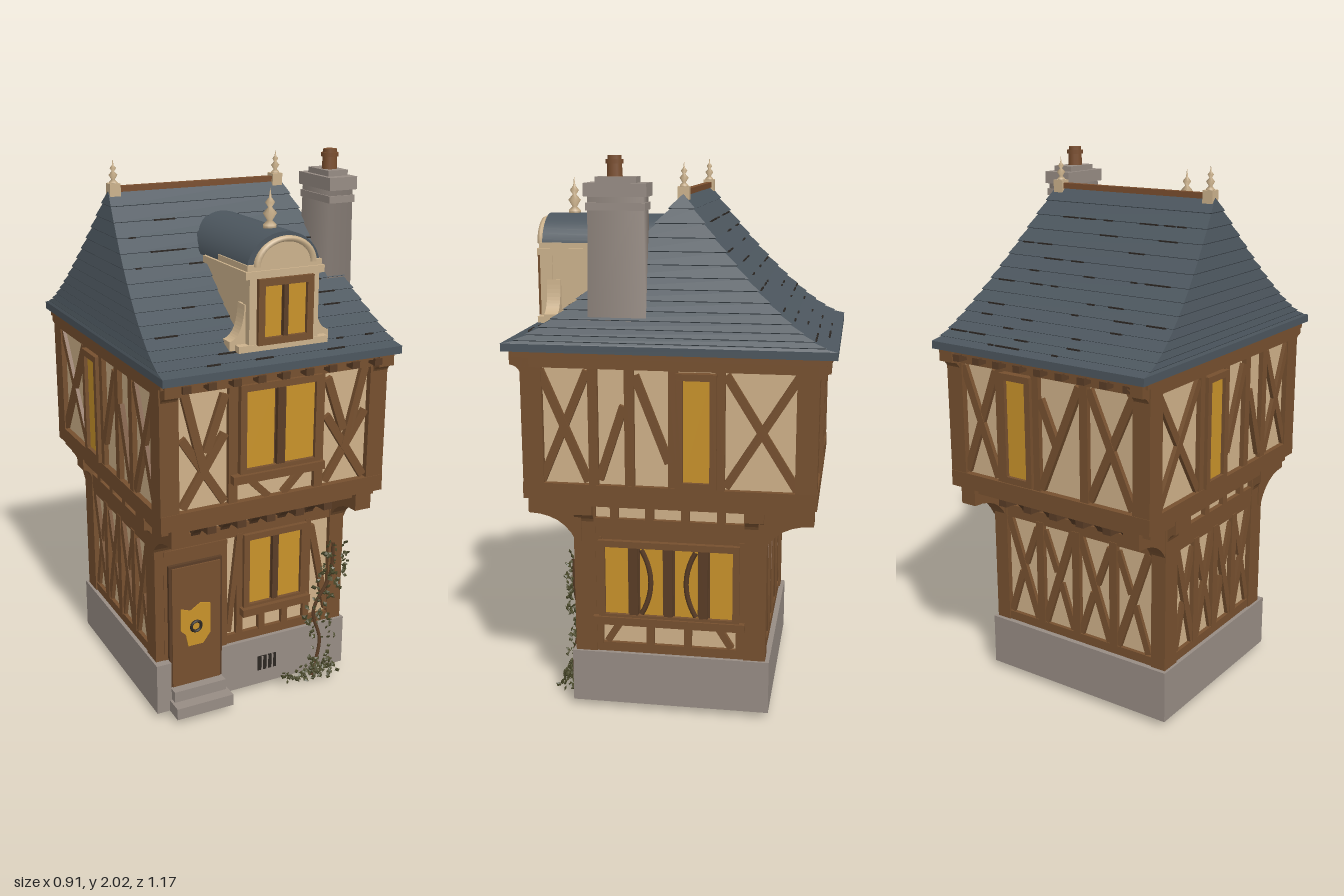
import * as THREE from 'three';
import { mergeGeometries } from 'three/addons/utils/BufferGeometryUtils.js';

const mat = (name, color) => Object.assign(new THREE.MeshStandardMaterial({ color }), { name });
const M = {
  stone: mat('stone', 0x978c84), plaster: mat('plaster', 0xcfb189), timber: mat('timber', 0x76502f),
  dark: mat('darkTimber', 0x5a3d26), glass: mat('amberGlass', 0xc8922a), slate: mat('slate', 0x4c565e),
  carved: mat('carvedStone', 0xccb28c), leaf: mat('ivy', 0x4b4a2b), ink: mat('iron', 0x2b2622), clay: mat('clay', 0x7a4e2e),
};
let seed = 7;
const rnd = (a = 0, b = 1) => { seed = (seed * 16807) % 2147483647; return a + (b - a) * seed / 2147483647; };

function add(g, name, geo, m) {
  const mesh = new THREE.Mesh(geo, m);
  mesh.name = name;
  g.add(mesh);
  return mesh;
}
// Box given by its limits
const block = (g, name, m, x0, x1, y0, y1, z0, z1) =>
  add(g, name, new THREE.BoxGeometry(x1 - x0, y1 - y0, z1 - z0).translate((x0 + x1) / 2, (y0 + y1) / 2, (z0 + z1) / 2), m);
// Beam between two points on a wall
function bar(g, u1, v1, u2, v2, w = 0.034, d = 0.018, m = M.timber, name = 'beam') {
  const b = add(g, name, new THREE.BoxGeometry(Math.hypot(u2 - u1, v2 - v1), w, d + 0.02), m);
  b.position.set((u1 + u2) / 2, (v1 + v2) / 2, d / 2 - 0.01);
  b.rotation.z = Math.atan2(v2 - v1, u2 - u1);
}
const cross = (g, u0, u1, v0, v1, w = 0.03) => { bar(g, u0, v0, u1, v1, w, 0.014); bar(g, u0, v1, u1, v0, w, 0.016); };
// Wall frame: local x runs along the wall, local z points outward
function wall(root, name, x, z, turn) {
  const g = new THREE.Group();
  g.name = name;
  g.position.set(x, 0, z);
  g.rotation.y = turn;
  root.add(g);
  return g;
}
// Casement window with a row of panes
function casement(g, u0, u1, v0, v1, n, gap = 0.03) {
  block(g, 'windowBacking', M.dark, u0 - 0.02, u1 + 0.02, v0 - 0.02, v1 + 0.02, -0.01, 0.014);
  const w = (u1 - u0 - gap * (n - 1)) / n;
  for (let i = 0; i < n; i++) {
    const a = u0 + i * (w + gap);
    block(g, 'pane', M.glass, a, a + w, v0, v1, 0.013, 0.018);
    if (i) bar(g, a - gap / 2, v0, a - gap / 2, v1, gap * 0.7, 0.03, M.dark, 'mullion');
  }
  for (const u of [u0 - 0.012, u1 + 0.012]) bar(g, u, v0 - 0.02, u, v1 + 0.02, 0.024, 0.032, M.timber, 'jamb');
  for (const v of [v0 - 0.012, v1 + 0.012]) bar(g, u0 - 0.024, v, u1 + 0.024, v, 0.024, 0.032, M.timber, 'rail');
}
// Curved bracket under an overhang
function corbel(g, u, top, D, H, w, m = M.timber) {
  const s = new THREE.Shape();
  s.moveTo(-0.01, top); s.lineTo(D, top); s.lineTo(D, top - H * 0.4);
  s.quadraticCurveTo(D * 0.3, top - H * 0.4, 0.01, top - H);
  s.lineTo(-0.01, top - H);
  add(g, 'corbel', new THREE.ExtrudeGeometry(s, { depth: w, bevelEnabled: false, curveSegments: 6 })
    .rotateY(-Math.PI / 2).translate(u + w / 2, 0, 0), m);
}
function finial(g, x, y, z, k) {
  const p = [[0, 0], [.02, 0], [.02, .012], [.008, .024], [.021, .045], [.006, .062], [.015, .076], [.004, .09], [0, .12]];
  add(g, 'finial', new THREE.LatheGeometry(p.map(([r, h]) => new THREE.Vector2(r * k, h * k)), 10).translate(x, y, z), M.carved);
}

// Roof section: t = 0 at the ridge, 1 at the eaves
const roofAt = (t, off = 0) => {
  const f = Math.pow(1 - t, 1.6);
  return { l: -0.455 + 0.07 * f - off / 2, r: 0.45 - 0.15 * f + off / 2, b: -0.04 - 0.54 * t - off, f: -0.04 + 0.615 * t + off,
    y: 1.36 + 0.51 * Math.pow(1 - t, 1.4) + off / 2 };
};
function roof(root) {
  const g = wall(root, 'roof', 0, 0, 0), n = 14, rings = [];
  for (let i = 0; i < n; i++) rings.push(roofAt(i / n), roofAt((i + 1) / n, 0.006));
  const e = rings[rings.length - 1];
  rings.push({ ...e, y: 1.335 }, { l: 0, r: 0, b: 0, f: 0, y: 1.335 });
  const corners = ({ l, r, b, f, y }) => [[l, y, f], [r, y, f], [r, y, b], [l, y, b]];
  const pos = [];
  for (let i = 0; i + 1 < rings.length; i++) {
    const U = corners(rings[i]), L = corners(rings[i + 1]);
    for (let j = 0; j < 4; j++) {
      const k = (j + 1) % 4;
      pos.push(...L[j], ...L[k], ...U[k], ...L[j], ...U[k], ...U[j]);
    }
  }
  const geo = new THREE.BufferGeometry();
  geo.setAttribute('position', new THREE.Float32BufferAttribute(pos, 3));
  geo.computeVertexNormals();
  add(g, 'slateCourses', geo, M.slate);
  // Dark gaps along the slate courses
  for (let i = 0; i < 90; i++) {
    const t = Math.floor(rnd(2, n)) / n, s = roofAt(t, 0.006), w = rnd(0.02, 0.08), front = i % 2;
    const x = rnd(s.l + 0.05, s.r - 0.05), z = front ? s.f : s.b;
    block(g, 'slateGap', M.ink, x - w / 2, x + w / 2, s.y - 0.004, s.y + 0.001, z - 0.004, z + 0.004);
  }
  // Ridge and finials
  block(g, 'ridgeCap', M.clay, -0.36, 0.28, 1.865, 1.885, -0.052, -0.028);
  for (const x of [-0.365, 0.28]) {
    block(g, 'finialBase', M.carved, x - 0.02, x + 0.02, 1.85, 1.895, -0.06, -0.02);
    finial(g, x, 1.89, -0.04, 0.75);
  }
  // Chimney
  const shaft = add(g, 'chimneyShaft', new THREE.CylinderGeometry(0.0655, 0.0707, 0.44, 4, 1).rotateY(Math.PI / 4), M.stone);
  shaft.scale.set(1, 1, 2.05);
  shaft.position.set(0.38, 1.66, 0.17);
  block(g, 'chimneyBand', M.stone, 0.328, 0.432, 1.82, 1.845, 0.068, 0.272);
  block(g, 'chimneyCap', M.stone, 0.324, 0.436, 1.865, 1.91, 0.062, 0.278);
  block(g, 'chimneyTop', M.stone, 0.34, 0.42, 1.91, 1.93, 0.1, 0.24);
  add(g, 'chimneyPot', new THREE.CylinderGeometry(0.024, 0.028, 0.08, 12).translate(0.38, 1.96, 0.18), M.clay);
  add(g, 'chimneyPotRim', new THREE.CylinderGeometry(0.031, 0.031, 0.014, 12).translate(0.38, 1.98, 0.18), M.clay);
}

function dormer(root) {
  const g = wall(root, 'dormer', 0.015, 0.5, 0);
  const vault = (rx, ry, len, y, z) => new THREE.CylinderGeometry(1, 1, len, 20, 1, false, Math.PI / 2, Math.PI)
    .rotateX(Math.PI / 2).scale(rx, ry, 1).translate(0, y, z - len / 2);
  block(g, 'dormerBody', M.carved, -0.125, 0.125, 1.38, 1.67, -0.4, 0);
  add(g, 'dormerRoof', vault(0.138, 0.125, 0.48, 1.66, 0.005), M.slate);
  add(g, 'pediment', vault(0.112, 0.085, 0.05, 1.68, 0.02), M.carved);
  add(g, 'pedimentArch', new THREE.TorusGeometry(0.105, 0.013, 6, 18, Math.PI).scale(1, 0.8, 1).translate(0, 1.68, 0.018), M.carved);
  block(g, 'dormerCornice', M.carved, -0.148, 0.148, 1.64, 1.665, -0.3, 0.022);
  block(g, 'dormerCorniceTop', M.carved, -0.14, 0.14, 1.665, 1.685, -0.2, 0.015);
  block(g, 'dormerSill', M.carved, -0.17, 0.17, 1.395, 1.418, -0.06, 0.02);
  casement(g, -0.08, 0.08, 1.44, 1.615, 2, 0.024);
  for (const s of [-1, 1]) {
    block(g, 'pilaster', M.carved, s * 0.117 - 0.014, s * 0.117 + 0.014, 1.4, 1.64, -0.03, 0.016);
    const c = new THREE.Shape();
    c.moveTo(s * 0.12, 1.39); c.lineTo(s * 0.19, 1.39); c.lineTo(s * 0.19, 1.43);
    c.quadraticCurveTo(s * 0.14, 1.44, s * 0.135, 1.55); c.lineTo(s * 0.12, 1.55);
    add(g, 'scroll', new THREE.ExtrudeGeometry(c, { depth: 0.05, bevelEnabled: false }).translate(0, 0, -0.06), M.carved);
  }
  finial(g, -0.005, 1.78, -0.085, 1.15);
}

function upperFloor(root) {
  block(root, 'upperWalls', M.plaster, -0.425, 0.42, 0.8, 1.34, -0.505, 0.495);
  block(root, 'jettySill', M.timber, -0.445, 0.44, 0.8, 0.86, -0.53, 0.52);
  block(root, 'jettyFloor', M.timber, -0.43, 0.425, 0.775, 0.8, -0.5, 0.49);
  block(root, 'wallPlate', M.timber, -0.445, 0.44, 1.28, 1.335, -0.525, 0.515);
  block(root, 'eavesBoard', M.timber, -0.45, 0.445, 1.315, 1.337, -0.55, 0.545);
  for (const x of [-0.41, 0.405]) for (const z of [-0.49, 0.48])
    block(root, 'upperPost', M.timber, x - 0.035, x + 0.035, 0.86, 1.28, z - 0.038, z + 0.038);
  const front = wall(root, 'upperFront', 0, 0.495, 0), back = wall(root, 'upperBack', 0, -0.505, Math.PI);
  casement(front, -0.125, 0.145, 0.98, 1.26, 2, 0.045);
  block(front, 'windowLedge', M.timber, -0.18, 0.18, 0.935, 0.965, -0.01, 0.045);
  for (const s of [-1, 1]) {
    bar(front, s * 0.17, 0.86, s * 0.17, 1.28);
    cross(front, s * 0.2, s * 0.36, 0.87, 1.12);
    bar(front, s * 0.28, 1.0, s * 0.35, 1.28, 0.03);
    bar(front, s * 0.2, 1.26, s * 0.27, 1.06, 0.03);
    bar(front, s * 0.03, 0.86, s * 0.11, 0.94, 0.025);
  }
  casement(back, -0.165, -0.075, 0.89, 1.25, 1);
  for (const u of [-0.2, -0.04, 0.17]) bar(back, u, 0.86, u, 1.28);
  cross(back, -0.37, -0.22, 0.87, 1.27);
  cross(back, 0.19, 0.37, 0.87, 1.27);
  bar(back, -0.02, 0.87, 0.15, 1.27, 0.03);
  bar(back, -0.02, 1.2, 0.05, 1.04, 0.03);
  for (const s of [1, -1]) {
    const g = wall(root, 'upperSide', s > 0 ? 0.42 : -0.425, 0, s * Math.PI / 2);
    // z runs against the wall axis on one side
    const u = (z) => -s * z;
    casement(g, Math.min(u(-0.06), u(-0.155)), Math.max(u(-0.06), u(-0.155)), 0.885, 1.25, 1);
    for (const z of [0.26, 0.13, -0.025, -0.19]) bar(g, u(z), 0.86, u(z), 1.28);
    cross(g, u(0.45), u(0.28), 0.87, 1.27);
    cross(g, u(-0.21), u(-0.46), 0.87, 1.27);
    bar(g, u(0.24), 0.88, u(0.15), 1.15, 0.03);
    bar(g, u(0.11), 1.26, u(-0.01), 0.95, 0.03);
  }
  // Rafter tails and eaves brackets
  for (const g of [front, back]) {
    for (let i = 0; i < 9; i++) block(g, 'rafterTail', M.dark, -0.375 + i * 0.092, -0.345 + i * 0.092, 1.295, 1.32, 0, 0.06);
    for (const u of [-0.41, 0.41]) corbel(g, u, 1.335, 0.06, 0.12, 0.06);
  }
}

function groundFloor(root) {
  block(root, 'plinth', M.stone, -0.41, 0.4, 0, 0.2, -0.37, 0.362);
  block(root, 'groundWalls', M.plaster, -0.38, 0.37, 0.2, 0.79, -0.335, 0.33);
  for (const [y0, y1] of [[0.2, 0.235], [0.64, 0.69]]) block(root, 'ringBeam', M.timber, -0.395, 0.385, y0, y1, -0.35, 0.346);
  for (const x of [-0.37, 0.36]) for (const z of [-0.315, 0.31])
    block(root, 'groundPost', M.timber, x - 0.03, x + 0.03, 0.2, 0.79, z - 0.04, z + 0.04);
  const front = wall(root, 'groundFront', 0, 0.33, 0), back = wall(root, 'groundBack', 0, -0.335, Math.PI);
  const right = wall(root, 'groundRight', 0.37, 0, Math.PI / 2), left = wall(root, 'groundLeft', -0.38, 0, -Math.PI / 2);
  // Jetty corbels and joists
  for (const g of [front, back]) {
    for (const u of [-0.372, 0.365]) corbel(g, u, 0.8, 0.185, 0.17, 0.065);
    for (let i = 0; i < 5; i++) corbel(g, -0.235 + i * 0.118, 0.79, 0.15, 0.12, 0.035, M.dark);
  }
  for (const g of [right, left]) {
    for (const u of [-0.31, 0.31]) corbel(g, u, 0.8, 0.055, 0.15, 0.07);
    for (let i = 0; i < 4; i++) bar(g, -0.2 + i * 0.13, 0.69, -0.2 + i * 0.13, 0.78, 0.03);
    bar(g, -0.33, 0.69, 0.33, 0.69, 0.06);
  }
  // Door and steps
  block(front, 'doorSurround', M.timber, -0.365, -0.11, 0.2, 0.64, -0.01, 0.022);
  block(front, 'doorFrame', M.dark, -0.352, -0.138, 0.08, 0.585, -0.01, 0.036);
  block(front, 'door', M.timber, -0.342, -0.148, 0.09, 0.575, -0.01, 0.042);
  const light = new THREE.Shape([[-.31, .41], [-.27, .395], [-.23, .42], [-.19, .41], [-.19, .29], [-.22, .25], [-.28, .25], [-.29, .3], [-.31, .32]]
    .map(([x, y]) => new THREE.Vector2(x, y)));
  add(front, 'doorLight', new THREE.ExtrudeGeometry(light, { depth: 0.005, bevelEnabled: false }).translate(0, 0, 0.041), M.glass);
  add(front, 'knocker', new THREE.TorusGeometry(0.02, 0.006, 6, 14).translate(-0.25, 0.33, 0.05), M.ink);
  block(root, 'upperStep', M.stone, -0.35, -0.14, 0, 0.088, 0.35, 0.405);
  block(root, 'lowerStep', M.stone, -0.36, -0.13, 0, 0.045, 0.35, 0.45);
  block(root, 'doorKerb', M.stone, -0.41, -0.352, 0, 0.2, 0.35, 0.38);
  // Front window, studs and cellar grate
  casement(front, -0.02, 0.2, 0.355, 0.62, 2, 0.035);
  block(front, 'windowLedge', M.timber, -0.055, 0.235, 0.315, 0.345, -0.01, 0.05);
  for (const u of [-0.055, 0.235]) bar(front, u, 0.23, u, 0.65, 0.026);
  bar(front, -0.1, 0.25, -0.06, 0.62, 0.02);
  bar(front, 0.25, 0.62, 0.33, 0.25, 0.026);
  for (const u of [0.04, 0.14]) bar(front, u, 0.23, u, 0.32, 0.026);
  block(front, 'cellarGrate', M.ink, 0.018, 0.098, 0.06, 0.12, 0.03, 0.036);
  for (let i = 0; i < 3; i++) block(front, 'grateBar', M.stone, 0.033 + i * 0.022, 0.039 + i * 0.022, 0.06, 0.12, 0.03, 0.04);
  // Right side window with curved braces
  casement(right, -0.235, 0.235, 0.355, 0.615, 4, 0.045);
  block(right, 'windowLedge', M.timber, -0.28, 0.28, 0.315, 0.345, -0.01, 0.04);
  for (const s of [-1, 1]) {
    const c = new THREE.QuadraticBezierCurve3(new THREE.Vector3(s * 0.1, 0.36, 0.022), new THREE.Vector3(s * 0.03, 0.485, 0.022), new THREE.Vector3(s * 0.1, 0.61, 0.022));
    add(right, 'curvedBrace', new THREE.TubeGeometry(c, 10, 0.01, 5), M.dark);
    bar(right, s * 0.262, 0.23, s * 0.262, 0.65, 0.03);
    bar(right, s * 0.23, 0.24, s * 0.18, 0.32, 0.025);
    bar(right, s * 0.07, 0.23, s * 0.07, 0.32, 0.028);
  }
  // Blind back and left walls: studs with braces
  for (const [g, half] of [[back, 0.34], [left, 0.28]]) {
    const n = 4, w = 2 * half / n;
    for (let i = 0; i < n; i++) {
      const a = -half + i * w, s = i % 2 ? 1 : -1, c = a + w / 2;
      if (i) bar(g, a, 0.23, a, 0.65);
      bar(g, c - s * w * 0.4, 0.24, c + s * w * 0.4, 0.64, 0.03, 0.015);
      bar(g, c + s * w * 0.4, 0.24, c + s * w * 0.05, 0.42, 0.026, 0.013);
      bar(g, c - s * w * 0.4, 0.62, c - s * w * 0.05, 0.46, 0.026, 0.013);
    }
  }
}

// Climbing plant on the front corner
function ivy(root) {
  const g = wall(root, 'ivy', 0, 0, 0), leaves = [];
  const path = new THREE.CatmullRomCurve3([[0.24, 0, 0.4], [0.28, 0.14, 0.385], [0.26, 0.26, 0.365], [0.33, 0.4, 0.365], [0.34, 0.54, 0.365]]
    .map((p) => new THREE.Vector3(...p)));
  add(g, 'ivyStem', new THREE.TubeGeometry(path, 24, 0.007, 5), M.dark);
  for (let i = 0; i < 190; i++) {
    const ground = i < 60, p = path.getPoint(rnd()), r = rnd(0.008, 0.016);
    if (ground) p.set(rnd(0.11, 0.34), rnd(0.008, 0.05), rnd(0.375, 0.44));
    else p.add(new THREE.Vector3(rnd(-0.055, 0.065), rnd(-0.03, 0.03), rnd(0, 0.025)));
    leaves.push(new THREE.OctahedronGeometry(r).scale(1, 0.75, 0.35).rotateX(rnd(-0.7, 0.7)).rotateY(rnd(-1, 1)).rotateZ(rnd(0, 3)).translate(p.x, p.y, p.z));
  }
  add(g, 'ivyLeaves', mergeGeometries(leaves), M.leaf);
}

export function createModel() {
  const root = new THREE.Group();
  root.name = 'timberFramedHouse';
  [groundFloor, upperFloor, roof, dormer, ivy].forEach((build) => build(root));
  return root;
}
